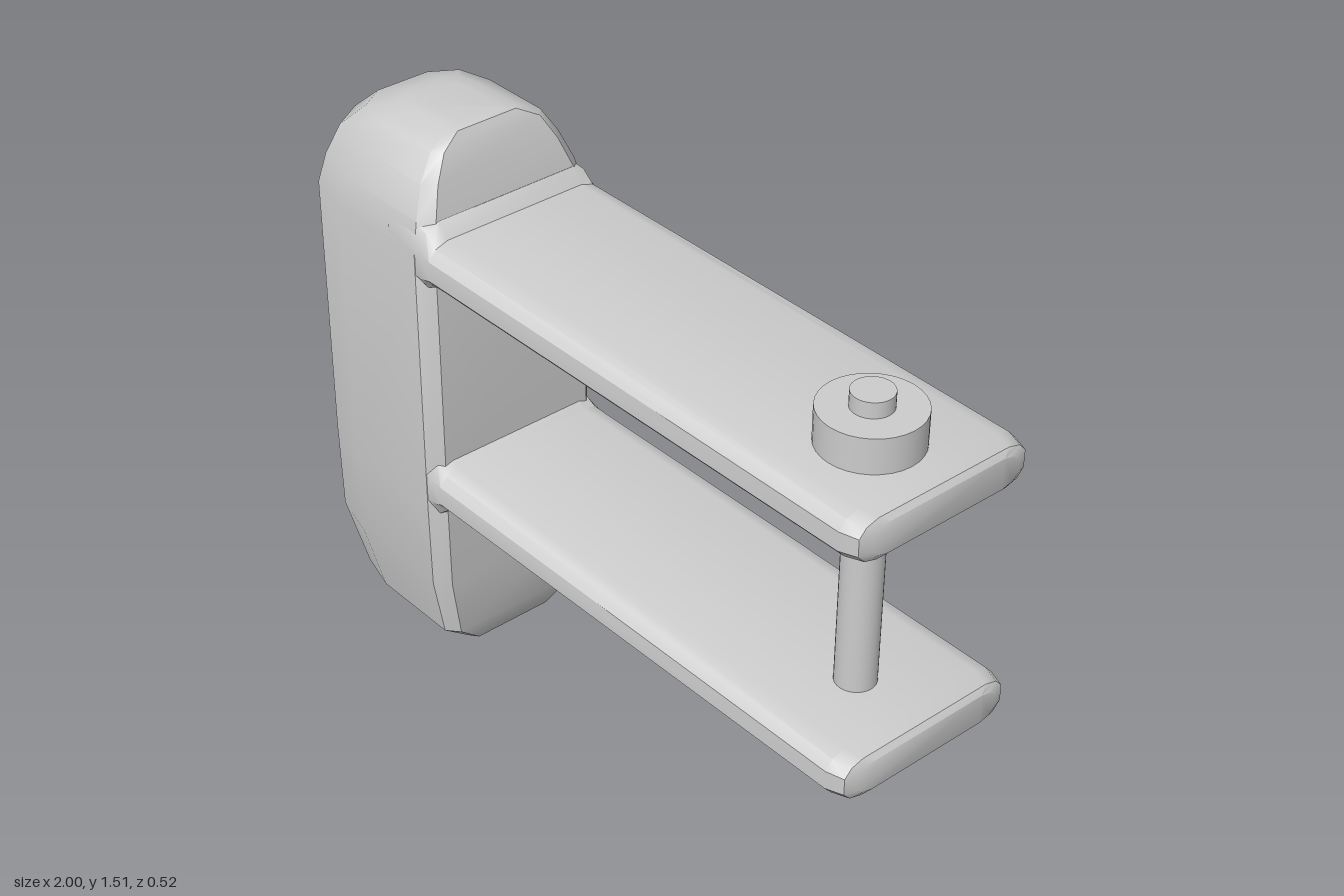
import * as THREE from 'three';
import { toCreasedNormals } from 'three/addons/utils/BufferGeometryUtils.js';

const material = new THREE.MeshStandardMaterial({ color: 0xcccccc });

// Skins rings of points (counter-clockwise about the loft direction) and caps both ends.
function loft(rings, crease) {
  const n = rings[0].length;
  const pos = rings.flat(2);
  const index = [];
  rings.slice(1).forEach((_, i) => {
    for (let j = 0; j < n; j++) {
      const a = i * n + j, b = i * n + (j + 1) % n;
      index.push(a, b, b + n, a, b + n, a + n);
    }
  });
  const last = (rings.length - 1) * n;
  for (let j = 1; j < n - 1; j++) {
    index.push(0, j + 1, j, last, last + j, last + j + 1);
  }
  const geometry = new THREE.BufferGeometry();
  geometry.setAttribute('position', new THREE.Float32BufferAttribute(pos, 3));
  geometry.setIndex(index);
  return toCreasedNormals(geometry, crease);
}

// Outline of the body from above: fraction of depth along x, fraction of half width along z.
const bodyOutline = [
  [0.37, 1], [0.93, 1], [1, 0.87], [1, -0.87], [0.93, -1],
  [0.37, -1], [0.12, -0.86], [0, -0.45], [0, 0.45], [0.12, 0.86],
];

// Body levels: height, back x, front x, half width.
const bodyLevels = [
  [0, -0.76, -0.53, 0.06], [0.02, -0.81, -0.5, 0.13], [0.095, -0.935, -0.47, 0.22],
  [0.27, -1, -0.46, 0.253], [0.52, -1, -0.455, 0.26], [1.25, -1, -0.455, 0.26],
  [1.33, -0.98, -0.47, 0.24], [1.41, -0.945, -0.495, 0.207],
  [1.475, -0.87, -0.515, 0.165], [1.505, -0.78, -0.535, 0.1], [1.51, -0.74, -0.55, 0.06],
];

// Cross-section of an arm: y fraction of half thickness, z fraction of half width.
const armOutline = [
  [1, -0.78], [1, 0.78], [0.82, 0.92], [0.42, 1], [-0.42, 1], [-0.82, 0.92],
  [-1, 0.78], [-1, -0.78], [-0.82, -0.92], [-0.42, -1], [0.42, -1], [0.82, -0.92],
];

// Flat arm with a bevelled tip and a fillet at the root; outer is the side away from its twin.
function armGeometry(y, outer) {
  // x, half thickness, half width, extra thickness on the outer and inner faces
  const stations = [
    [-0.6, 0.06, 0.255, 0.06, 0.02], [-0.47, 0.06, 0.26, 0.04, 0.02],
    [-0.435, 0.06, 0.26, 0.006, 0], [0.94, 0.058, 0.26, 0, 0],
    [0.985, 0.053, 0.245, 0, 0], [0.997, 0.04, 0.215, 0, 0],
  ];
  return loft(stations.map(([x, h, w, out, inn]) => armOutline.map(([v, s]) => {
    const extra = Math.sign(v) === outer ? out : inn;
    return [x, y + v * (h + extra), s * w];
  })), 0.6);
}

export function createModel() {
  const group = new THREE.Group();
  const add = (name, geometry, x = 0, y = 0, z = 0) => {
    const mesh = new THREE.Mesh(geometry, material);
    mesh.name = name;
    mesh.position.set(x, y, z);
    group.add(mesh);
  };

  // Rounded upright body
  add('body', loft(bodyLevels.map(([y, back, front, w]) =>
    bodyOutline.map(([t, s]) => [back + t * (front - back), y, s * w])), 0.65));

  // Pair of arms
  add('upperArm', armGeometry(1.232, 1));
  add('lowerArm', armGeometry(0.585, -1));

  // Pin through both arms, with a collar at each end
  const pinX = 0.785, pinZ = 0.02;
  const rod = (r, h) => new THREE.CylinderGeometry(r, r, h, 32);
  add('pin', rod(0.05, 1), pinX, 0.92, pinZ);
  add('upperCollar', rod(0.123, 0.1), pinX, 1.33, pinZ);
  add('lowerCollar', rod(0.123, 0.1), pinX, 0.5, pinZ);

  return group;
}
